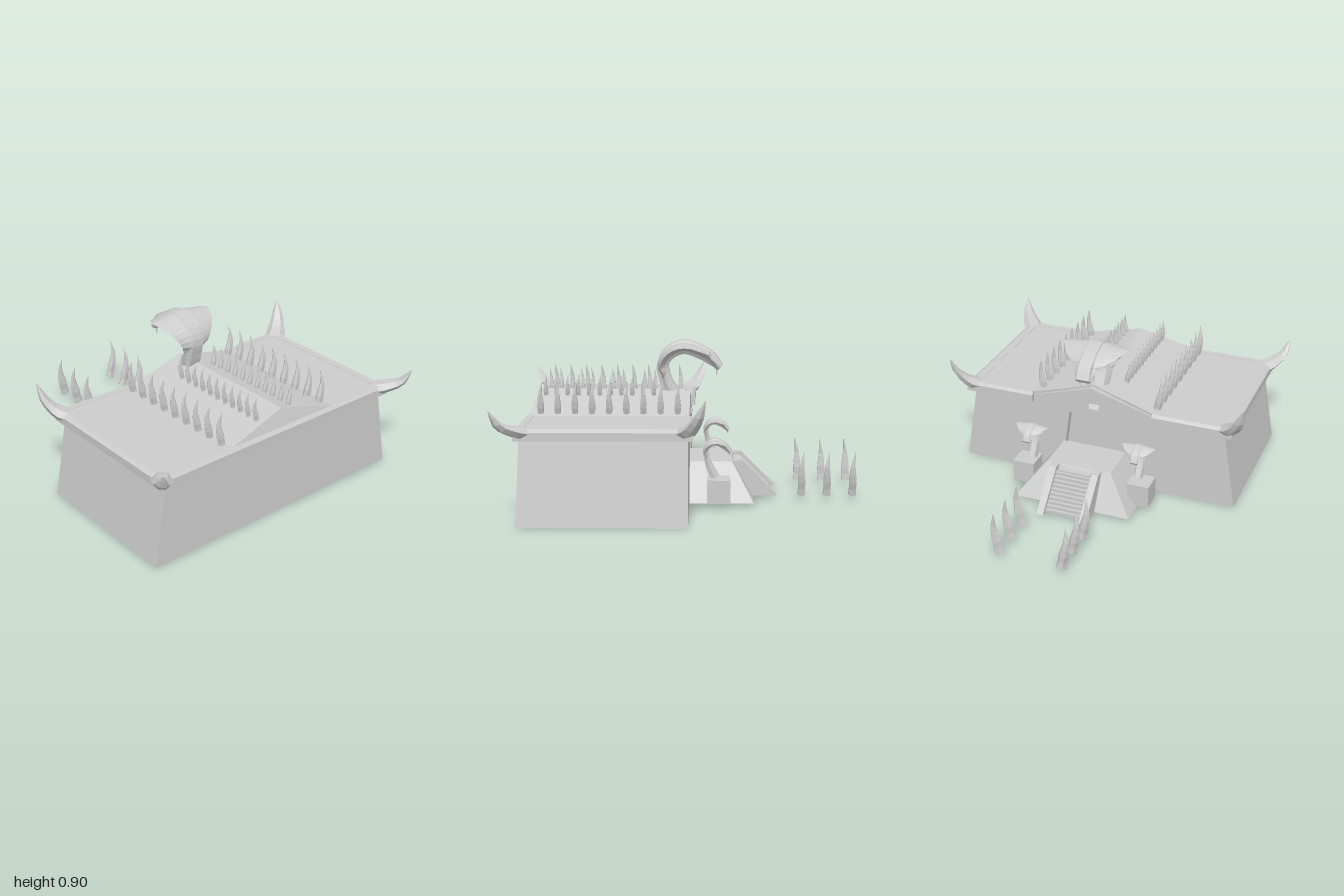
import * as THREE from 'three';

const mat = new THREE.MeshStandardMaterial({ color: 0xcccccc, flatShading: true, side: THREE.DoubleSide });
const V = (x, y, z) => new THREE.Vector3(x, y, z);
const CX = 0.015; // axis of the entrance and serpents

function add(parent, name, geometry) {
  const mesh = new THREE.Mesh(geometry, mat);
  mesh.name = name;
  parent.add(mesh);
  return mesh;
}

// Box with separate bottom and top rectangles [x0, x1, z0, z1]
function frustum(bottom, top, y0, y1) {
  const g = new THREE.BoxGeometry(1, 1, 1);
  const p = g.attributes.position;
  for (let i = 0; i < p.count; i++) {
    const r = p.getY(i) > 0 ? top : bottom;
    p.setXYZ(i, p.getX(i) > 0 ? r[1] : r[0], p.getY(i) > 0 ? y1 : y0, p.getZ(i) > 0 ? r[3] : r[2]);
  }
  g.computeVertexNormals();
  return g;
}
const block = (x0, x1, y0, y1, z0, z1) => frustum([x0, x1, z0, z1], [x0, x1, z0, z1], y0, y1);

const shape = (pts) => new THREE.Shape(pts.map(([x, y]) => new THREE.Vector2(x, y)));

function extrude(s, depth) {
  return new THREE.ExtrudeGeometry(s, { depth, bevelEnabled: false });
}

// Skin a cross-section along a curve; section(t) gives [sideways, outward] pairs
function loft(points, sideDir, steps, section) {
  const curve = new THREE.CatmullRomCurve3(points);
  const pos = [], idx = [];
  const n = section(0).length;
  for (let i = 0; i <= steps; i++) {
    const t = i / steps, c = curve.getPoint(t), T = curve.getTangent(t);
    const S = sideDir.clone().addScaledVector(T, -sideDir.dot(T)).normalize();
    const N = S.clone().cross(T);
    for (const [u, v] of section(t)) {
      const q = c.clone().addScaledVector(S, u).addScaledVector(N, v);
      pos.push(q.x, q.y, q.z);
    }
  }
  for (let i = 0; i < steps; i++) {
    for (let j = 0; j < n; j++) {
      const a = i * n + j, b = i * n + (j + 1) % n;
      idx.push(a, a + n, b, b, a + n, b + n);
    }
  }
  const e = steps * n;
  for (let j = 1; j < n - 1; j++) idx.push(0, j, j + 1, e, e + j + 1, e + j);
  const g = new THREE.BufferGeometry();
  g.setAttribute('position', new THREE.Float32BufferAttribute(pos, 3));
  g.setIndex(idx);
  g.computeVertexNormals();
  return g;
}

// Piecewise-linear lookup in evenly spaced values
function ramp(values, t) {
  const f = t * (values.length - 1), i = Math.min(Math.floor(f), values.length - 2);
  return THREE.MathUtils.lerp(values[i], values[i + 1], f - i);
}

const oval = (a, b, n = 6) => Array.from({ length: n }, (_, k) => {
  const w = (k / n) * Math.PI * 2;
  return [Math.cos(w) * a, Math.sin(w) * b];
});

// Curved claw of unit height, leaning towards +x
function clawGeometry() {
  const path = [V(0, 0, 0), V(0.06, 0.3, 0), V(0.12, 0.65, 0), V(0.08, 1, -0.05)];
  return loft(path, V(1, 0, 0), 6, (t) => {
    const r = ramp([1, 0.85, 0.95, 0.8, 0.55, 0.3, 0.04], t);
    return oval(0.12 * r, 0.1 * r);
  });
}

function cobra() {
  const g = new THREE.Group();
  const path = [[0.455, 0], [0.6, 0.08], [0.69, 0.115], [0.77, 0.125], [0.835, 0.08],
    [0.865, 0], [0.84, -0.085], [0.8, -0.155], [0.745, -0.21]].map(([y, z]) => V(0, y, z));
  const hood = [0.05, 0.05, 0.06, 0.11, 0.165, 0.205, 0.15, 0.07, 0.045];
  const thick = [0.06, 0.045, 0.035, 0.035, 0.038, 0.04, 0.04, 0.036, 0.02];
  add(g, 'serpentBody', loft(path, V(1, 0, 0), 24, (t) => {
    const w = ramp(hood, t), h = ramp(thick, t), b = 0.044, e = w > 0.08 ? 0.012 : 0;
    return [[w, e], [b, 0.45 * h + e], [b * 0.85, h], [-b * 0.85, h], [-b, 0.45 * h + e],
      [-w, e], [-b, -0.5 * h], [-b * 0.7, -h], [b * 0.7, -h], [b, -0.5 * h]];
  }));
  // Fangs
  for (const s of [-1, 1]) {
    const fang = add(g, 'fang', new THREE.ConeGeometry(0.008, 0.06, 5));
    fang.position.set(s * 0.025, 0.72, -0.188);
    fang.rotation.x = Math.PI;
  }
  return g;
}

export function createModel() {
  const model = new THREE.Group();
  model.name = 'serpentTemple';

  // Leaning outer walls, open above and below
  const walls = frustum([-0.86, 0.86, -0.035, 0.875], [-0.78, 0.78, -0.025, 0.86], 0, 0.48);
  const ix = Array.from(walls.index.array);
  walls.setIndex([...ix.slice(0, 12), ...ix.slice(24, 30)]);
  add(model, 'outerWalls', walls);

  // Entrance wall with gable and doorway
  const wall = shape([[-0.86, 0], [0.86, 0], [0.78, 0.48], [0.4, 0.5], [0.03, 0.61], [-0.34, 0.5], [-0.78, 0.48]]);
  wall.holes.push(shape([[-0.17, 0.2], [-0.14, 0.43], [0.17, 0.43], [0.2, 0.2]]));
  add(model, 'entranceWall', extrude(wall, 0.045)).position.z = -0.035;
  add(model, 'doorPanel', block(-0.18, 0.21, 0.19, 0.44, 0.008, 0.016));

  // Thin roof with a low raised ridge
  const roof = extrude(shape([[-0.8, 0.5], [-0.36, 0.5], [0.03, 0.605], [0.42, 0.5], [0.8, 0.5],
    [0.8, 0.52], [0.4, 0.52], [0.03, 0.62], [-0.34, 0.52], [-0.8, 0.52]]), 0.9);
  const rp = roof.attributes.position;
  for (let i = 0; i < rp.count; i++) {
    const inset = rp.getY(i) > 0.55 ? 0.03 : 0;
    rp.setZ(i, rp.getZ(i) > 0.45 ? 0.865 - inset : -0.035 + inset);
  }
  roof.computeVertexNormals();
  add(model, 'roof', roof);
  const gable = new THREE.BufferGeometry();
  gable.setAttribute('position', new THREE.Float32BufferAttribute(
    [-0.34, 0.52, 0.865, 0.4, 0.52, 0.865, 0.03, 0.62, 0.835], 3));
  gable.computeVertexNormals();
  add(model, 'frontGable', gable);

  // Cornice bars [x0, x1, z0, z1] with chamfered tops, interrupted over the entrance
  const bars = [[-0.83, 0.83, 0.83, 0.885], [-0.83, -0.76, -0.06, 0.885], [0.76, 0.83, -0.06, 0.885],
    [-0.83, -0.35, -0.06, -0.01], [0.4, 0.83, -0.06, -0.01]];
  for (const [x0, x1, z0, z1] of bars) {
    add(model, 'cornice', block(x0, x1, 0.46, 0.505, z0, z1));
    const top = [Math.max(x0, -0.805), Math.min(x1, 0.805), Math.max(z0, -0.045), Math.min(z1, 0.87)];
    add(model, 'corniceChamfer', frustum([x0, x1, z0, z1], top, 0.505, 0.522));
  }

  // Upswept horns on the four corners
  for (const s of [-1, 1]) {
    const paths = [
      [V(s * 0.77, 0.49, 0.82), V(s * 0.82, 0.51, 0.88), V(s * 0.875, 0.55, 0.95), V(s * 0.9, 0.63, 0.995)],
      [V(s * 0.77, 0.49, 0.0), V(s * 0.825, 0.52, -0.045), V(s * 0.875, 0.59, -0.09), V(s * 0.9, 0.685, -0.125)]];
    paths.forEach((path, k) => add(model, 'cornerHorn', loft(path, V(s, 0, k ? 1 : -1).normalize(), 7, (t) => {
      const r = ramp([1, 1.05, 0.8, 0.55, 0.06], t);
      return oval(0.058 * r, 0.035 * r);
    })));
  }

  // Rows of claws on the roof
  const claw = clawGeometry();
  function placeClaw(name, x, y, z, h, s) {
    const m = add(model, name, claw);
    m.position.set(x, y, z);
    m.scale.set(h, h, h);
    if (s < 0) m.rotation.y = Math.PI;
  }
  for (const s of [-1, 1]) {
    for (let i = 0; i < 9; i++) placeClaw('outerRoofClaw', s * 0.352, 0.5, 0.03 + i * 0.096, 0.215, s);
    for (let i = 0; i < 11; i++) placeClaw('innerRoofClaw', s * 0.112, 0.57, 0.175 + i * 0.0625, 0.15, s);
    // Claws lining the approach
    for (let i = 0; i < 3; i++) placeClaw('approachClaw', CX + s * 0.182, 0.03, -0.68 - i * 0.147, 0.255, s);
  }

  // Sloped entrance platform
  add(model, 'platform', frustum([-0.34, 0.37, -0.4, -0.03], [-0.185, 0.21, -0.28, -0.03], 0.015, 0.222));

  // Stairs between sloping side rails
  for (const x of [-0.13, 0.132]) {
    const rail = extrude(shape([[0.27, 0.222], [0.4, 0.015], [0.54, 0.015], [0.335, 0.222]]), 0.042);
    rail.rotateY(Math.PI / 2); // profile runs towards -z
    add(model, 'stairRail', rail).position.x = x;
  }
  const steps = 10;
  for (let i = 0; i < steps; i++) {
    const y = 0.015 + ((i + 1) / steps) * 0.18, z = -0.5 + i * 0.0175;
    add(model, 'step', block(-0.09, 0.134, y - 0.02, y, z, z + 0.04));
  }
  add(model, 'landing', block(-0.075, 0.125, 0.17, 0.205, -0.33, -0.27));

  // Large serpent above the entrance
  const big = cobra();
  big.name = 'roofSerpent';
  big.position.x = 0.012;
  model.add(big);

  // Small serpents on pedestals beside the platform
  for (const s of [-1, 1]) {
    const x = CX + s * 0.36;
    add(model, 'pedestal', block(x - 0.066, x + 0.066, 0.03, 0.163, -0.265, -0.135));
    const small = cobra();
    small.name = 'pedestalSerpent';
    small.scale.set(0.5, 0.5, 0.42);
    small.position.set(CX + s * 0.335, -0.065, -0.179);
    model.add(small);
  }
  return model;
}
